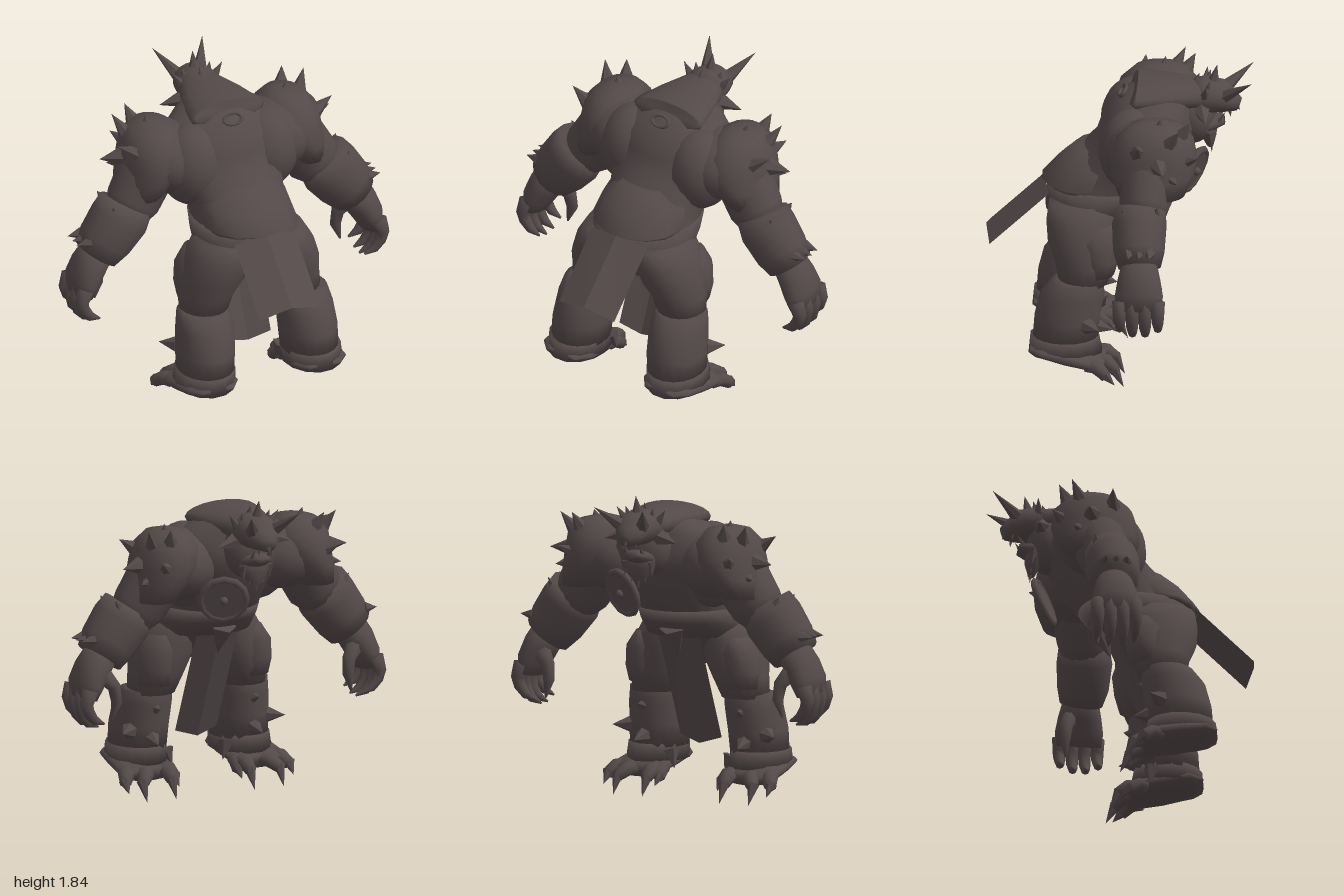
import * as THREE from 'three';

const hide = new THREE.MeshStandardMaterial({ color: 0x544949, side: THREE.DoubleSide });
hide.name = 'dark brown';
const V = (p) => new THREE.Vector3(p[0], p[1], p[2]);

export function createModel() {
  const model = new THREE.Group();
  model.name = 'hornedBrute';

  const add = (name, geo, flat = false) => {
    if (flat) { geo = geo.index ? geo.toNonIndexed() : geo; geo.computeVertexNormals(); }
    const mesh = new THREE.Mesh(geo, hide);
    mesh.name = name;
    model.add(mesh);
    return mesh;
  };

  // Skin over elliptical rings [x, y, z, half width, half depth]; level keeps the rings horizontal
  const loft = (name, rings, level = false, n = 18) => {
    const pos = [], idx = [], X = new THREE.Vector3(1, 0, 0), last = rings.length - 1;
    rings.forEach((r, i) => {
      const t = level ? new THREE.Vector3(0, Math.sign(rings[last][1] - rings[0][1]), 0)
        : V(rings[Math.min(i + 1, last)]).sub(V(rings[Math.max(i - 1, 0)])).normalize();
      const u = X.clone().addScaledVector(t, -t.x).normalize();
      const v = t.clone().cross(u);
      for (let j = 0; j < n; j++) {
        const a = j / n * Math.PI * 2;
        const p = V(r).addScaledVector(u, Math.cos(a) * r[3]).addScaledVector(v, Math.sin(a) * r[4]);
        pos.push(p.x, p.y, p.z);
        if (i < last) {
          const k = i * n + j, m = i * n + (j + 1) % n;
          idx.push(k, m, k + n, m, m + n, k + n);
        }
      }
    });
    for (const i of [0, last]) { // end caps
      pos.push(rings[i][0], rings[i][1], rings[i][2]);
      const c = pos.length / 3 - 1;
      for (let j = 0; j < n; j++) {
        const a = i * n + j, b = i * n + (j + 1) % n;
        if (i === 0) idx.push(c, b, a); else idx.push(c, a, b);
      }
    }
    const g = new THREE.BufferGeometry();
    g.setAttribute('position', new THREE.Float32BufferAttribute(pos, 3));
    g.setIndex(idx);
    g.computeVertexNormals();
    return add(name, g);
  };

  // Faceted cone from base to tip
  const spike = (name, base, tip, r, sides = 6) => {
    const d = V(tip).sub(V(base)), len = d.length();
    const g = new THREE.ConeGeometry(r, len, sides).translate(0, len / 2, 0);
    g.applyQuaternion(new THREE.Quaternion().setFromUnitVectors(new THREE.Vector3(0, 1, 0), d.normalize()));
    g.translate(...base);
    return add(name, g, true);
  };

  const ball = (name, c, r) => add(name, new THREE.SphereGeometry(1, 20, 14).scale(...r).translate(...c));

  // Cloth folded along its middle: half width, then edge and middle [y, z] at top and bottom
  const cloth = (name, w, te, tm, be, bm) => {
    const g = new THREE.BufferGeometry();
    g.setAttribute('position', new THREE.Float32BufferAttribute(
      [-w, ...te, 0, ...tm, w, ...te, -w, ...be, 0, ...bm, w, ...be], 3));
    g.setIndex([0, 3, 4, 0, 4, 1, 1, 4, 5, 1, 5, 2]);
    add(name, g, true);
  };

  // Hunched torso
  loft('torso', [
    [0, 0.78, 0.2, 0.06, 0.08], [0, 0.84, 0.2, 0.2, 0.16], [0, 0.93, 0.185, 0.28, 0.225],
    [0, 1.03, 0.135, 0.3, 0.275], [0, 1.12, 0.075, 0.29, 0.315], [0, 1.25, -0.03, 0.285, 0.32],
    [0, 1.4, -0.145, 0.34, 0.285], [0, 1.5, -0.17, 0.36, 0.275], [0, 1.58, -0.18, 0.34, 0.245],
    [0, 1.64, -0.21, 0.27, 0.215], [0, 1.69, -0.24, 0.18, 0.18], [0, 1.72, -0.26, 0.1, 0.12]], true, 28);

  // Belt, with a ragged hide flap flaring out over the back cloth
  loft('belt', [[0, 0.96, 0.165, 0.305, 0.26], [0, 1.05, 0.125, 0.315, 0.3], [0, 1.13, 0.075, 0.3, 0.325]], true, 28);
  loft('backFlap', [[0, 1.12, 0.2, 0.27, 0.22], [0, 1.14, 0.18, 0.28, 0.27], [0, 1.24, 0.12, 0.26, 0.24],
    [0, 1.34, 0.05, 0.17, 0.205]], true, 14);
  cloth('backCloth', 0.19, [1.1, 0.4], [1.14, 0.43], [0.78, 0.74], [0.83, 0.765]);
  cloth('frontCloth', 0.135, [0.97, -0.06], [0.97, -0.09], [0.35, 0.2], [0.31, 0.18]);
  spike('buckle', [0, 1.02, -0.13], [0, 0.84, -0.06], 0.08, 5);

  // Hood sweeping from the back up to the head
  loft('hood', [[0, 1.69, -0.08, 0.21, 0.06], [0, 1.68, -0.1, 0.235, 0.075], [0, 1.67, -0.3, 0.19, 0.085],
    [0, 1.66, -0.44, 0.14, 0.085], [0, 1.66, -0.52, 0.11, 0.08]]);
  const ring = add('neckRing', new THREE.TorusGeometry(0.055, 0.012, 8, 20).scale(1, 0.6, 1));
  ring.position.set(0, 1.67, -0.02);
  ring.rotation.x = -0.7;

  // Head, open mouth and beard
  loft('skull', [[0, 1.63, -0.42, 0.12, 0.11], [0, 1.655, -0.5, 0.13, 0.105], [0, 1.645, -0.58, 0.115, 0.095],
    [0, 1.615, -0.64, 0.085, 0.065], [0, 1.595, -0.685, 0.045, 0.04]]);
  loft('jaw', [[0, 1.5, -0.42, 0.11, 0.08], [0, 1.48, -0.52, 0.095, 0.05], [0, 1.5, -0.6, 0.055, 0.025]]);
  ball('throat', [0, 1.53, -0.42], [0.15, 0.17, 0.13]);
  loft('beard', [[0, 1.49, -0.5, 0.1, 0.06], [0, 1.42, -0.51, 0.09, 0.05], [0, 1.34, -0.52, 0.04, 0.02]], true, 10);
  spike('nose', [0, 1.6, -0.66], [0, 1.56, -0.69], 0.03, 5);
  spike('crownHorn', [0, 1.7, -0.53], [0, 1.84, -0.56], 0.045);
  spike('rearHorn', [0, 1.71, -0.43], [0, 1.79, -0.46], 0.03);
  for (let i = -2; i <= 2; i++)
    spike('beardTuft', [i * 0.04, 1.45, -0.52], [i * 0.045, 1.29 + Math.abs(i) * 0.04, -0.53], 0.03, 5);

  // Round medallion on the chest
  const medal = new THREE.Group();
  medal.name = 'medallion';
  medal.position.set(0.16, 1.25, -0.43);
  medal.lookAt(0.54, 0.97, -1.25);
  const disc = add('medallionDisc', new THREE.CylinderGeometry(0.135, 0.135, 0.03, 24).rotateX(Math.PI / 2));
  const rim = add('medallionRim', new THREE.TorusGeometry(0.13, 0.022, 6, 12));
  const boss = add('medallionBoss', new THREE.SphereGeometry(0.025, 10, 8));
  boss.position.z = 0.02;
  medal.add(disc, rim, boss);
  model.add(medal);

  for (const s of [1, -1]) {
    const side = s > 0 ? 'left' : 'right';
    const m = (a) => [a[0] * s, ...a.slice(1)];
    const part = (name, rings, level, n) => loft(side + name, rings.map(m), level, n);
    const thorn = (name, base, tip, r, n) => spike(side + name, m(base), m(tip), r, n);

    // Face details
    thorn('Horn', [0.06, 1.66, -0.59], [0.16, 1.79, -0.765], 0.045);
    thorn('BrowSpike', [0.07, 1.69, -0.5], [0.09, 1.77, -0.52], 0.03);
    thorn('TempleSpike', [0.1, 1.68, -0.49], [0.16, 1.76, -0.5], 0.03);
    thorn('Ear', [0.09, 1.6, -0.47], [0.24, 1.57, -0.5], 0.06, 5);
    thorn('Tusk', [0.05, 1.5, -0.57], [0.055, 1.57, -0.61], 0.016, 5);
    thorn('Fang', [0.04, 1.59, -0.63], [0.04, 1.53, -0.64], 0.016, 5);
    ball(side + 'Eye', m([0.07, 1.64, -0.61]), [0.02, 0.015, 0.02]);

    // Back and shoulder muscle, shoulder armour with spikes
    ball(side + 'BackMuscle', m([0.23, 1.4, -0.09]), [0.2, 0.25, 0.205]);
    ball(side + 'Shoulder', m([0.33, 1.43, -0.18]), [0.23, 0.21, 0.25]);
    part('Pauldron', [[0.41, 1.655, -0.22, 0.05, 0.07], [0.42, 1.635, -0.22, 0.12, 0.15], [0.42, 1.56, -0.215, 0.185, 0.225],
      [0.43, 1.46, -0.21, 0.19, 0.25], [0.47, 1.36, -0.205, 0.165, 0.24], [0.52, 1.25, -0.2, 0.13, 0.19]], true, 18);
    for (const [b, t, r] of [
      [[0.46, 1.57, -0.35], [0.5, 1.69, -0.42], 0.06], [[0.53, 1.54, -0.28], [0.61, 1.68, -0.36], 0.06],
      [[0.59, 1.46, -0.24], [0.73, 1.455, -0.27], 0.06], [[0.55, 1.52, -0.12], [0.68, 1.6, -0.13], 0.055],
      [[0.43, 1.6, -0.24], [0.45, 1.69, -0.25], 0.05], [[0.34, 1.57, -0.28], [0.36, 1.65, -0.3], 0.05],
      [[0.5, 1.45, -0.38], [0.57, 1.5, -0.47], 0.055], [[0.57, 1.38, -0.3], [0.65, 1.37, -0.35], 0.045]])
      thorn('PauldronSpike', b, t, r);

    // Arm and bracer
    part('UpperArm', [[0.4, 1.46, -0.18, 0.18, 0.19], [0.49, 1.33, -0.18, 0.17, 0.165], [0.57, 1.2, -0.16, 0.165, 0.145],
      [0.63, 1.13, -0.15, 0.13, 0.12]]);
    part('Bracer', [[0.62, 1.2, -0.145, 0.165, 0.145], [0.67, 1.12, -0.135, 0.18, 0.16], [0.76, 1.0, -0.135, 0.168, 0.15],
      [0.815, 0.925, -0.14, 0.145, 0.125]], false, 14);
    thorn('ElbowSpike', [0.69, 1.16, -0.22], [0.76, 1.27, -0.24], 0.07, 5);
    thorn('ElbowSpike', [0.71, 1.16, -0.08], [0.75, 1.26, -0.04], 0.06, 5);
    for (const z of [-0.2, -0.14, -0.08])
      thorn('BracerSpike', [0.88, 1.04, z], [0.965, 1.04, z], 0.035);

    // Hand with curled fingers and thumb
    part('Palm', [[0.8, 0.95, -0.14, 0.1, 0.1], [0.86, 0.86, -0.14, 0.1, 0.125], [0.9, 0.78, -0.14, 0.09, 0.14],
      [0.92, 0.7, -0.14, 0.065, 0.13]]);
    for (let f = 0; f < 4; f++) {
      const z = -0.03 - f * 0.073, low = f === 0 || f === 3 ? 0.03 : 0;
      part('Finger', [[0.93, 0.76, z, 0.05, 0.042], [0.955, 0.68, z, 0.042, 0.038], [0.94, 0.6 + low, z, 0.037, 0.034],
        [0.9, 0.55 + low, z, 0.028, 0.026], [0.84, 0.525 + low, z, 0.006, 0.006]], false, 8);
    }
    part('Thumb', [[0.83, 0.84, -0.2, 0.06, 0.05], [0.765, 0.76, -0.23, 0.04, 0.04], [0.755, 0.67, -0.24, 0.033, 0.033],
      [0.78, 0.57, -0.23, 0.006, 0.006]], false, 8);

    // Leg
    part('Thigh', [[0.18, 1.06, 0.2, 0.14, 0.2], [0.2, 0.95, 0.2, 0.185, 0.215], [0.235, 0.83, 0.2, 0.185, 0.205],
      [0.27, 0.72, 0.185, 0.16, 0.175], [0.295, 0.6, 0.2, 0.14, 0.14]], true);
    part('HipPlate', [[0.3, 0.96, 0.12, 0.06, 0.11], [0.31, 0.87, 0.11, 0.11, 0.13], [0.315, 0.75, 0.11, 0.115, 0.115],
      [0.315, 0.66, 0.12, 0.1, 0.1]], true, 12);
    part('Greave', [[0.3, 0.63, 0.22, 0.13, 0.12], [0.31, 0.62, 0.23, 0.155, 0.15], [0.315, 0.54, 0.26, 0.165, 0.185],
      [0.325, 0.4, 0.29, 0.17, 0.19], [0.33, 0.27, 0.3, 0.165, 0.19]], true);
    part('AnkleCuff', [[0.335, 0.29, 0.305, 0.17, 0.2], [0.34, 0.19, 0.3, 0.175, 0.215]], true, 14);
    thorn('ShinSpike', [0.33, 0.34, 0.12], [0.34, 0.32, 0.02], 0.05);
    thorn('ShinSpike', [0.45, 0.39, 0.17], [0.53, 0.39, 0.1], 0.05);
    thorn('ShinSpike', [0.32, 0.52, 0.1], [0.33, 0.53, 0.05], 0.04);
    thorn('AnkleSpike', [0.2, 0.25, 0.2], [0.165, 0.15, 0.18], 0.05, 5);

    // Sloping foot with clawed toes
    part('Foot', [[0.34, 0.22, 0.5, 0.1, 0.02], [0.34, 0.215, 0.42, 0.165, 0.045], [0.35, 0.19, 0.28, 0.175, 0.06],
      [0.36, 0.165, 0.16, 0.175, 0.055], [0.36, 0.14, 0.08, 0.15, 0.04]]);
    for (const [x, tx, d] of [[0.25, 0.255, 0], [0.36, 0.445, 0], [0.47, 0.535, 0.05], [0.24, 0.205, 0.06]]) {
      const mid = (x + tx) / 2;
      part('Toe', [[x, 0.155, 0.16, 0.055, 0.045], [mid, 0.15, 0.06 + d, 0.05, 0.042], [tx, 0.11, 0.01 + d, 0.035, 0.035]], false, 8);
      thorn('Claw', [tx, 0.125, 0.02 + d], [tx, 0.005 + d, -0.04 + d], 0.035);
    }
  }
  return model;
}
